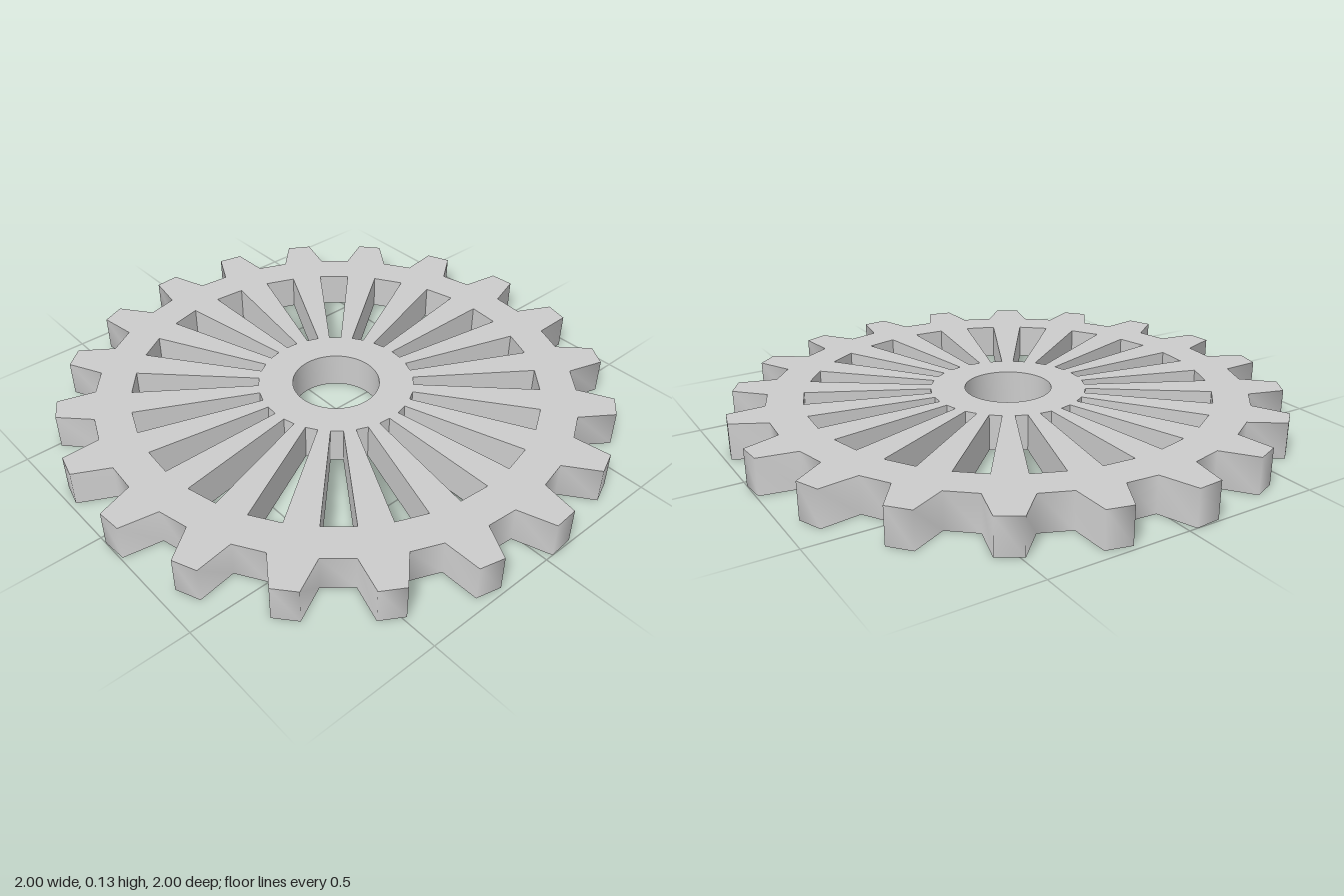
import * as THREE from 'three';
import { toCreasedNormals } from 'three/addons/utils/BufferGeometryUtils.js';

const TEETH = 20;
const PITCH = 360 / TEETH;
const THICKNESS = 0.13;
const TIP_R = 1, ROOT_R = 0.868;
const SLOT_OUTER = 0.738, SLOT_INNER = 0.283, BORE_R = 0.158;

// Point at a radius and a clockwise angle in degrees, measured from straight up
function polar(r, deg) {
  const a = THREE.MathUtils.degToRad(deg);
  return new THREE.Vector2(r * Math.sin(a), r * Math.cos(a));
}

export function createModel() {
  const group = new THREE.Group();
  group.name = 'spokedGear';

  const outline = [];
  const holes = [];
  for (let i = 0; i < TEETH; i++) {
    const a = i * PITCH;
    // Toothed rim: valley, then a tapered tooth
    outline.push(
      polar(ROOT_R, a + 1), polar(ROOT_R, a + 8.5),
      polar(TIP_R, a + 11.1), polar(TIP_R, a + 16.3)
    );
    // Tapered slot that leaves a spoke between hub and rim
    holes.push(new THREE.Path([
      polar(SLOT_INNER, a), polar(SLOT_INNER, a + 9),
      polar(SLOT_OUTER, a + 9), polar(SLOT_OUTER, a),
    ]));
  }

  // Central bore
  holes.push(new THREE.Path().absarc(0, 0, BORE_R, 0, Math.PI * 2, true));

  // Counter-clockwise outline with clockwise holes, so all walls face outwards
  const shape = new THREE.Shape(outline.reverse());
  holes.forEach((hole) => {
    shape.holes.push(hole);
  });

  // Extrude and lay flat on the ground
  const geometry = new THREE.ExtrudeGeometry(shape, {
    depth: THICKNESS, bevelEnabled: false, curveSegments: 32,
  });
  geometry.rotateX(-Math.PI / 2);

  // Tooth walls blend softly; slots and top and bottom edges stay sharp
  const gear = new THREE.Mesh(
    toCreasedNormals(geometry, THREE.MathUtils.degToRad(80)),
    new THREE.MeshStandardMaterial({ color: 0xcccccc })
  );
  gear.name = 'gearWheel';
  group.add(gear);
  return group;
}
